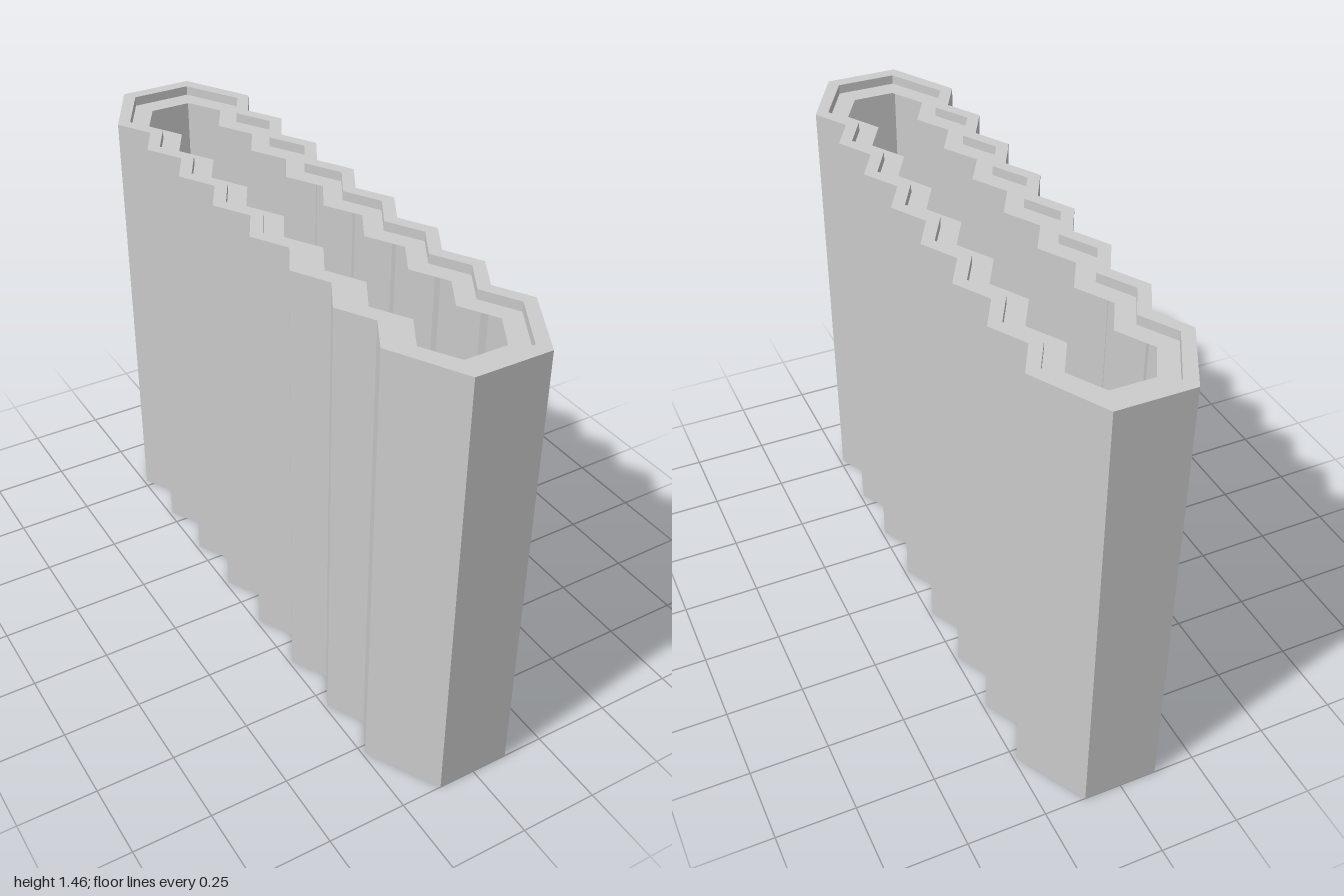
import * as THREE from 'three';

const HEIGHT = 1.455, STEP = 0.03, PEAKS = 8, PITCH = 2 / 9;

// Zigzag outline, counter-clockwise from above: half widths at peak, valley and end, plus end z
function outline(peak, valley, end, endZ) {
  const side = [[end, endZ]];
  for (let i = 0; i < PEAKS; i++) {
    const z = ((PEAKS - 1) / 2 - i) * PITCH;
    side.push([peak, z]);
    if (i < PEAKS - 1) side.push([valley, z - PITCH / 2]);
  }
  side.push([end, -endZ]);
  return [...side, ...side.map(([x, z]) => [-x, -z])];
}

// Flat-faced band between two matching outlines at two heights
function band(name, a, ya, b, yb, material) {
  const pos = [];
  a.forEach((p, i) => {
    const j = (i + 1) % a.length;
    const A = [p[0], ya, p[1]], B = [a[j][0], ya, a[j][1]];
    const C = [b[j][0], yb, b[j][1]], D = [b[i][0], yb, b[i][1]];
    pos.push(...A, ...B, ...C, ...A, ...C, ...D);
  });
  const geometry = new THREE.BufferGeometry();
  geometry.setAttribute('position', new THREE.Float32BufferAttribute(pos, 3));
  geometry.computeVertexNormals();
  const mesh = new THREE.Mesh(geometry, material);
  mesh.name = name;
  return mesh;
}

export function createModel() {
  const group = new THREE.Group();
  group.name = 'corrugatedSleeve';
  const material = new THREE.MeshStandardMaterial({
    color: 0xcccccc, flatShading: true, side: THREE.DoubleSide,
  });

  const outer = outline(0.24, 0.177, 0.118, 1);
  const middle = outline(0.197, 0.133, 0.096, 0.957);
  const hole = outline(0.131, 0.067, 0.067, 0.888);
  const ledgeY = HEIGHT - STEP;

  group.add(
    // thin outer shell, open at the bottom
    band('outerWall', outer, 0, outer, HEIGHT, material),
    // top rim, the small step down and the ledge around the opening
    band('topRim', outer, HEIGHT, middle, HEIGHT, material),
    band('rimStep', middle, HEIGHT, middle, ledgeY, material),
    band('innerLedge', middle, ledgeY, hole, ledgeY, material),
  );
  return group;
}
